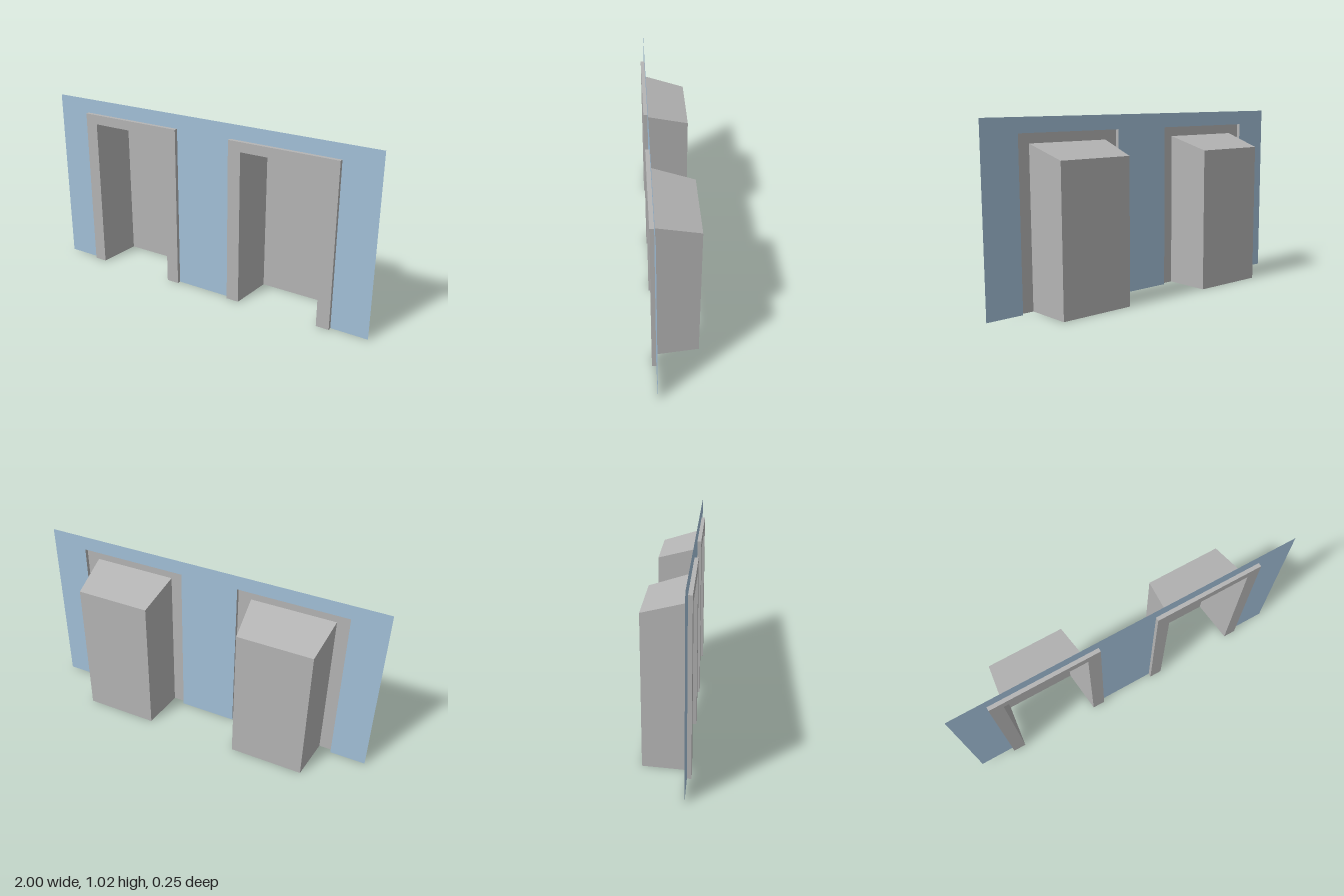
import * as THREE from 'three';

const FRONT = 0.127, WALL_Z = 0.105, BACK = -0.127;
const HEIGHT = 1.025;
const CENTRES = [-0.483, 0.478];

// Door outlines: half width, height and depth, from the wall inwards
const OUTER_REAR = { w: 0.313, h: 0.943, z: WALL_Z };
const OUTER_FRONT = { w: 0.313, h: 0.943, z: FRONT };
const INNER_FRONT = { w: 0.239, h: 0.888, z: FRONT };
const INNER_BACK = { w: 0.211, h: 0.817, z: BACK };

// Skin over successive upside-down U outlines, open at the floor
function loftDoorway(sections) {
  const outline = ({ w, h, z }) => [[-w, 0, z], [-w, h, z], [w, h, z], [w, 0, z]];
  const pos = [];
  for (let s = 0; s < sections.length - 1; s++) {
    const a = outline(sections[s]), b = outline(sections[s + 1]);
    for (let i = 0; i < 3; i++) {
      pos.push(...a[i], ...b[i], ...a[i + 1], ...b[i], ...b[i + 1], ...a[i + 1]);
    }
  }
  const geometry = new THREE.BufferGeometry();
  geometry.setAttribute('position', new THREE.Float32BufferAttribute(pos, 3));
  geometry.computeVertexNormals();
  return geometry;
}

export function createModel() {
  const wallPaint = new THREE.MeshStandardMaterial({ color: 0xa2c0d8, side: THREE.DoubleSide });
  wallPaint.name = 'wall blue';
  const doorPaint = new THREE.MeshStandardMaterial({ color: 0xb4b4b4, side: THREE.DoubleSide });
  doorPaint.name = 'door grey';

  const model = new THREE.Group();
  model.name = 'wallWithDoorways';
  const add = (parent, name, geometry, material) => {
    const mesh = new THREE.Mesh(geometry, material);
    mesh.name = name;
    parent.add(mesh);
    return mesh;
  };

  // Thin wall sheet, notched from the floor for each doorway
  const outline = new THREE.Shape();
  outline.moveTo(-1, 0);
  for (const x of CENTRES) {
    const { w, h } = OUTER_REAR;
    outline.lineTo(x - w, 0);
    outline.lineTo(x - w, h);
    outline.lineTo(x + w, h);
    outline.lineTo(x + w, 0);
  }
  outline.lineTo(1, 0);
  outline.lineTo(1, HEIGHT);
  outline.lineTo(-1, HEIGHT);
  outline.closePath();
  add(model, 'wall', new THREE.ShapeGeometry(outline), wallPaint).position.z = WALL_Z;

  CENTRES.forEach((x, i) => {
    const doorway = new THREE.Group();
    doorway.name = i === 0 ? 'rightDoorway' : 'leftDoorway';
    doorway.position.x = x;
    model.add(doorway);

    // Hollow raised frame, tapering recess and door panel
    add(doorway, 'frame', loftDoorway([OUTER_REAR, OUTER_FRONT, INNER_FRONT]), doorPaint);
    add(doorway, 'recess', loftDoorway([INNER_FRONT, INNER_BACK]), doorPaint);
    const { w, h, z } = INNER_BACK;
    add(doorway, 'doorPanel', new THREE.PlaneGeometry(2 * w, h), doorPaint).position.set(0, h / 2, z);
  });

  return model;
}
